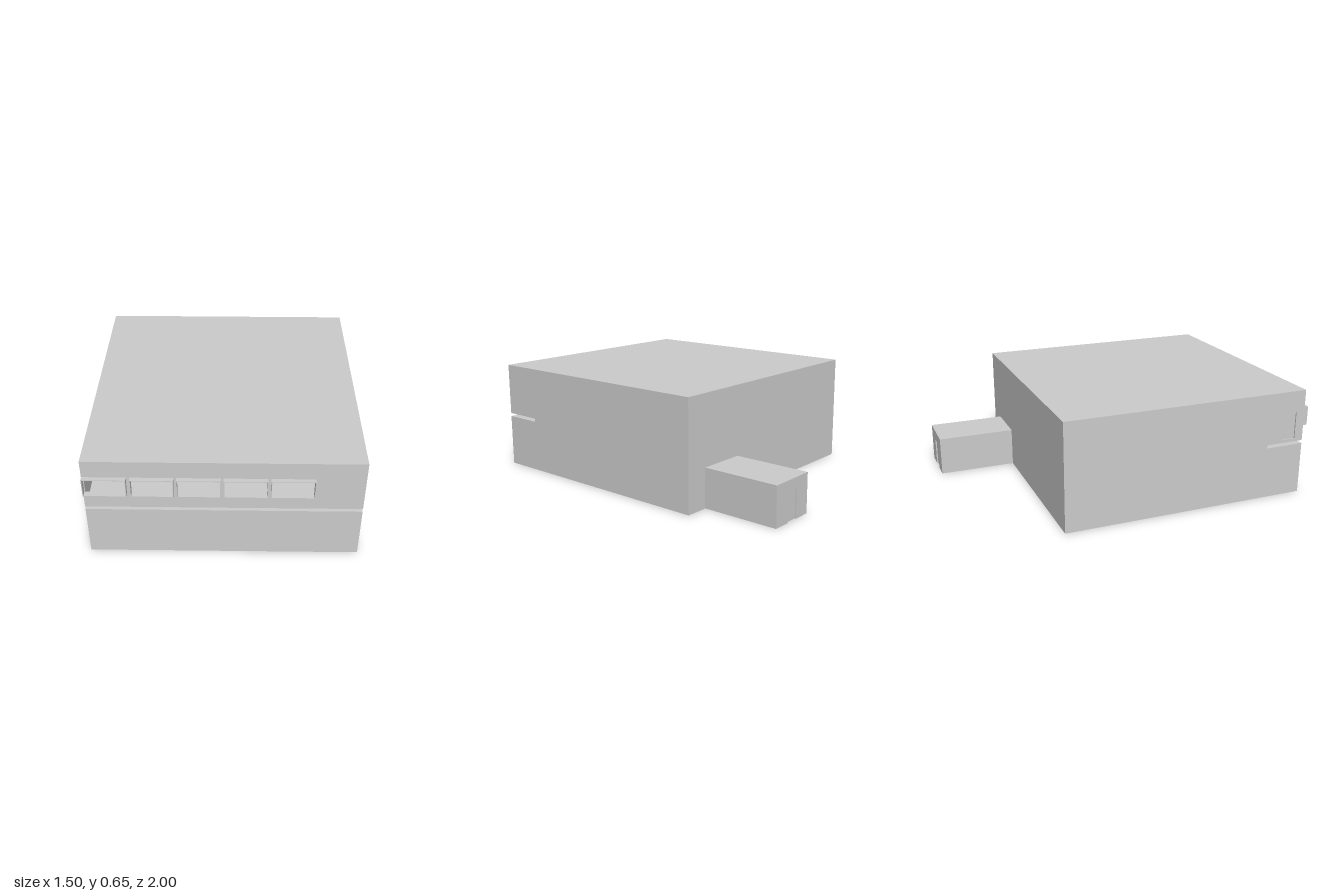
import * as THREE from 'three';

const grey = new THREE.MeshStandardMaterial({ color: 0xcccccc, flatShading: true });

function polygon(points) {
  return new THREE.Shape(points.map(([a, b]) => new THREE.Vector2(a, b)));
}

function rect(x0, y0, x1, y1) {
  return [[x0, y0], [x1, y0], [x1, y1], [x0, y1]];
}

function extrude(name, shape, depth) {
  const geo = new THREE.ExtrudeGeometry(shape, { depth, bevelEnabled: false });
  const mesh = new THREE.Mesh(geo, grey);
  mesh.name = name;
  return mesh;
}

// Profile drawn in (z, y), swept from x0 to x1
function sweepX(name, shape, x0, x1) {
  const mesh = extrude(name, shape, x1 - x0);
  mesh.geometry.rotateY(-Math.PI / 2).translate(x1, 0, 0);
  return mesh;
}

// Outline drawn in (x, y), swept from z0 to z1
function sweepZ(name, shape, z0, z1) {
  const mesh = extrude(name, shape, z1 - z0);
  mesh.geometry.translate(0, 0, z0);
  return mesh;
}

// Rectangular ring of thickness t
function ring(x0, y0, x1, y1, t) {
  const shape = polygon(rect(x0, y0, x1, y1));
  shape.holes.push(polygon(rect(x0 + t, y0 + t, x1 - t, y1 - t)));
  return shape;
}

export function createModel() {
  const group = new THREE.Group();
  const W = 0.75, H = 0.65, back = -0.53, front = 0.975, wall = 0.01;
  const slotLow = 0.315, slotHigh = 0.335, slotBack = 0.735;
  const inner = front - wall;

  // Main hall: side profile with the slot and the open room above it
  const lower = [[back, 0], [front, 0], [front, slotLow], [slotBack, slotLow], [slotBack, slotHigh], [inner, slotHigh]];
  const hall = polygon([...lower, [inner, 0.345], [slotBack, 0.345], [slotBack, H - wall], [inner, H - wall], [inner, H], [back, H]]);
  group.add(sweepX('mainHall', hall, -W + wall, W - wall));

  // End walls close the room; the right one has a doorway
  const sideOutline = [...lower, [inner, H], [back, H]];
  group.add(sweepX('leftWall', polygon(sideOutline), W - wall, W));
  const rightWall = polygon(sideOutline);
  rightWall.holes.push(polygon(rect(0.83, 0.345, 0.93, 0.53)));
  group.add(sweepX('rightWall', rightWall, -W, -W + wall));
  group.add(sweepX('sideDoorFrame', ring(0.83, 0.345, 0.93, 0.53, 0.009), -W, -W + wall));
  group.add(sweepX('sideDoor', polygon(rect(0.835, 0.35, 0.925, 0.525)), -W + 0.007, -W + wall));

  // Front wall with a row of window openings and projecting thin frames
  const frontWall = polygon(rect(-W, slotHigh, W, H));
  const windows = [[-0.749, -0.515], [-0.495, -0.265], [-0.25, -0.015], [0, 0.235], [0.25, 0.485]];
  for (const [x0, x1] of windows) {
    frontWall.holes.push(polygon(rect(x0, 0.43, x1, 0.545)));
    group.add(sweepZ('windowFrame', ring(x0, 0.43, x1, 0.545, 0.004), inner, 1));
  }
  group.add(sweepZ('frontWall', frontWall, inner, front));

  // Framed panel on the back wall of the room
  group.add(sweepZ('roomPanelFrame', ring(-0.65, 0.437, -0.295, 0.6, 0.01), slotBack, slotBack + 0.01));

  // Rear annex with a recessed door
  const recess = 0.012;
  group.add(sweepZ('annex', polygon(rect(0.32, 0, 0.61, 0.235)), -1 + recess, back));
  const annexWall = polygon([[0.32, 0], [0.415, 0], [0.415, 0.18], [0.515, 0.18], [0.515, 0], [0.61, 0], [0.61, 0.235], [0.32, 0.235]]);
  group.add(sweepZ('annexRearWall', annexWall, -1, -1 + recess));
  const doorFrame = polygon([[0.415, 0], [0.424, 0], [0.424, 0.171], [0.506, 0.171], [0.506, 0], [0.515, 0], [0.515, 0.18], [0.415, 0.18]]);
  group.add(sweepZ('annexDoorFrame', doorFrame, -1, -1 + recess));
  group.add(sweepZ('annexDoor', polygon(rect(0.42, 0, 0.51, 0.175)), -1 + 0.008, -1 + recess));

  return group;
}
